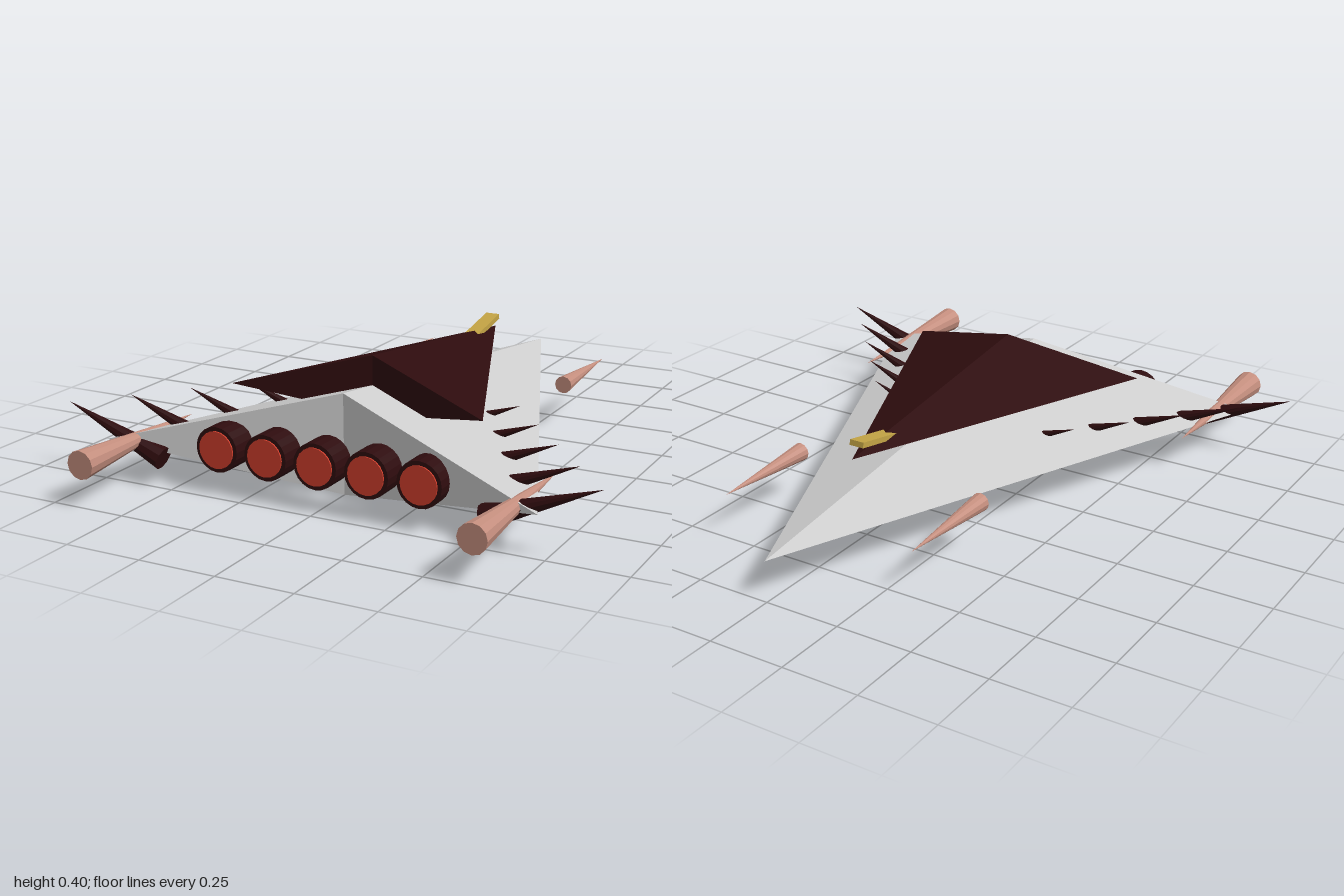
import * as THREE from 'three';

const paint = (name, color, flatShading = true) =>
  Object.assign(new THREE.MeshStandardMaterial({ color, flatShading }), { name });

// Faceted arrowhead: nose, two wing tips and a notched stern with upper and lower ridge ends
function arrowhead(scale) {
  const N = [0, 0, 0], T = [0, 0.19, 1.545], B = [0, -0.135, 1.545];
  const L = [0.73, 0, 1.76], R = [-0.73, 0, 1.76];
  const faces = [N, T, L, N, R, T, N, L, B, N, B, R, T, B, L, T, R, B];
  const geo = new THREE.BufferGeometry();
  geo.setAttribute('position', new THREE.Float32BufferAttribute(faces.flat(), 3));
  geo.scale(scale, scale, scale);
  geo.computeVertexNormals();
  return geo;
}

// Cone running from the centre of its base to its tip
function spike(base, tip, radius, sides) {
  const a = new THREE.Vector3(...base), b = new THREE.Vector3(...tip);
  const dir = b.clone().sub(a), len = dir.length();
  const geo = new THREE.ConeGeometry(radius, len, sides);
  geo.translate(0, len / 2, 0);
  geo.applyQuaternion(new THREE.Quaternion().setFromUnitVectors(new THREE.Vector3(0, 1, 0), dir.normalize()));
  geo.translate(a.x, a.y, a.z);
  return geo;
}

export function createModel() {
  const grey = paint('hull grey', 0xcfcfcf);
  const dark = paint('dark maroon', 0x2e0c0e);
  const red = paint('engine red', 0xcf3d2b);
  const pink = paint('dusty pink', 0xc48e7e);
  const gold = paint('gold', 0xc4a445);

  const model = new THREE.Group();
  model.name = 'starship';
  const add = (name, geo, mat, x = 0, y = 0, z = 0) => {
    const mesh = new THREE.Mesh(geo, mat);
    mesh.name = name;
    mesh.position.set(x, y, z);
    model.add(mesh);
    return mesh;
  };

  // Hull and the smaller deck on top of it
  add('hull', arrowhead(1), grey, 0, 0.135, -1);
  add('upperDeck', arrowhead(0.6), dark, 0, 0.285, -0.567);

  // Tilted bar passing through the deck
  add('prowBar', new THREE.BoxGeometry(0.05, 0.018, 0.56), gold, 0, 0.275, -0.267).rotation.x = 0.19;

  // Row of engines with glowing outlets
  const engine = new THREE.CylinderGeometry(0.073, 0.073, 0.09, 20).rotateX(Math.PI / 2);
  const outlet = new THREE.CylinderGeometry(0.06, 0.06, 0.008, 20).rotateX(Math.PI / 2);
  for (let i = -2; i <= 2; i++) {
    add('engine', engine, dark, i * 0.173, 0.145, 0.675);
    add('engineOutlet', outlet, red, i * 0.173, 0.145, 0.721);
  }

  for (const s of [1, -1]) {
    const side = s > 0 ? 'left' : 'right';
    // Long cones at the wing tips and short floating cones by the nose
    add(side + 'WingCone', spike([s * 0.645, 0.135, 1], [s * 0.645, 0.135, 0.42], 0.046, 12), pink);
    add(side + 'NoseCone', spike([s * 0.343, 0.155, -0.38], [s * 0.343, 0.155, -0.76], 0.03, 12), pink);
    // Spines along the wing edge
    for (let i = 0; i < 5; i++) {
      const dx = i * 0.127, z = 0.718 - i * 0.15;
      add(side + 'Spine', spike([s * (0.55 - dx), 0.085, z], [s * (0.905 - dx), 0.223, z], 0.038, 10), dark);
    }
  }
  return model;
}
